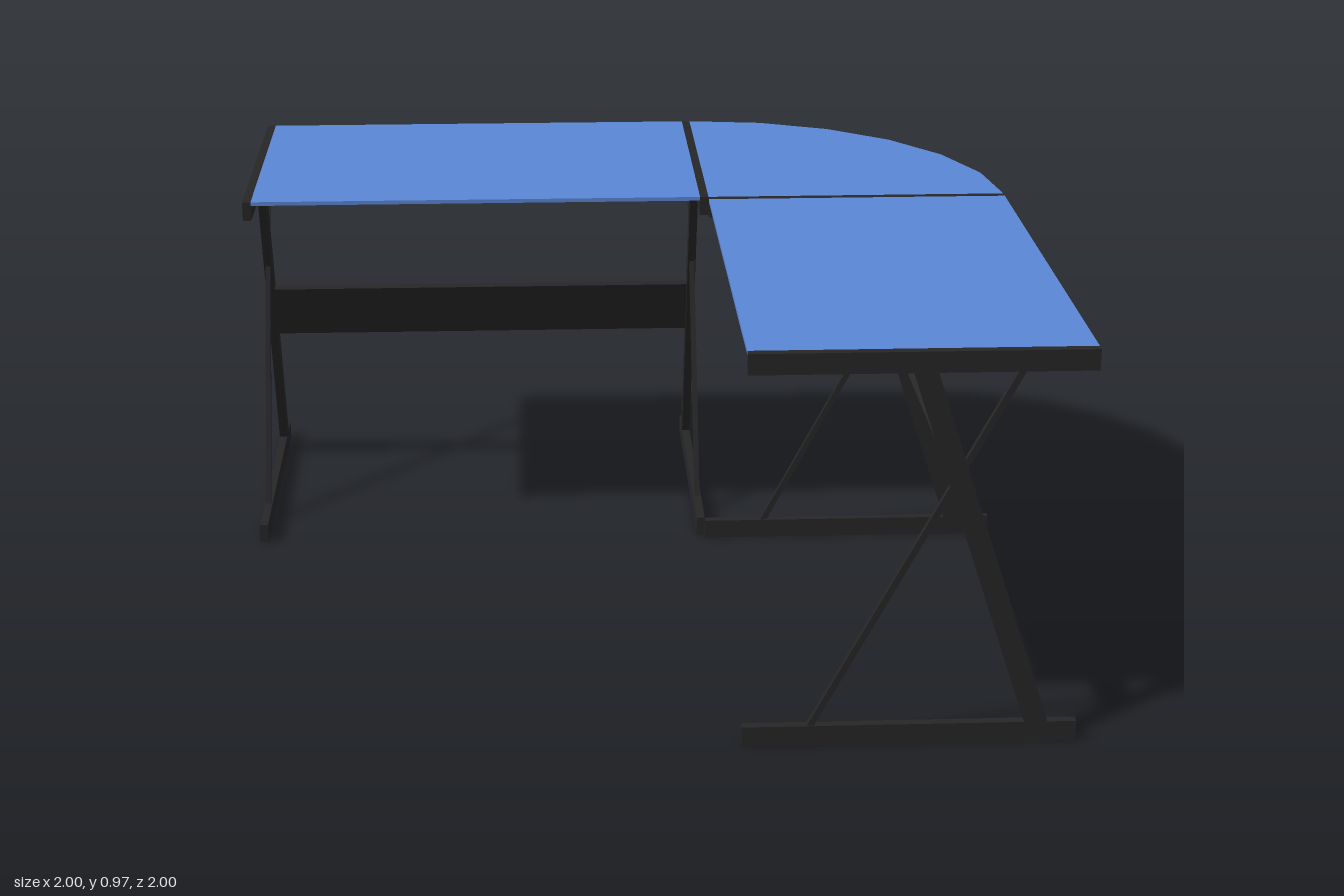
import * as THREE from 'three';

const dark = new THREE.MeshStandardMaterial({ color: 0x262626 });
const blue = new THREE.MeshStandardMaterial({ color: 0x5b87d6 });

const IN = 0.22, OUT = 1, MID = (IN + OUT) / 2; // depth range of a desk wing
const HALF = 0.61, T = 0.022;                   // half length of a wing, frame thickness
const TOP = 0.968, BAR = 0.05, SLAB = 0.01;     // desk height, bar height, top thickness
const RAIL_Y = 0.936, RAIL_H = 0.018;

function mesh(name, geometry, material) {
  const m = new THREE.Mesh(geometry, material);
  m.name = name;
  return m;
}

function box(name, w, h, d, x, y, z, material = dark) {
  const m = mesh(name, new THREE.BoxGeometry(w, h, d), material);
  m.position.set(x, y, z);
  return m;
}

// Slanted bar cut level at both ends; xb and xt are its centres at the bottom and top
function slantedBar(name, xb, xt, width, depth) {
  const h = width / 2, y0 = BAR, y1 = TOP - BAR;
  const shape = new THREE.Shape([[xb - h, y0], [xb + h, y0], [xt + h, y1], [xt - h, y1]]
    .map(([x, y]) => new THREE.Vector2(x, y)));
  const geometry = new THREE.ExtrudeGeometry(shape, { depth, bevelEnabled: false });
  return mesh(name, geometry.translate(0, 0, -depth / 2), dark);
}

// Leg frame: foot, top bar, slanted post and thin crossing brace
function legFrame(z) {
  const g = new THREE.Group();
  g.name = 'legFrame';
  g.add(
    box('foot', OUT - IN, BAR, T, MID, BAR / 2, 0),
    box('topBar', OUT - IN, BAR, T, MID, TOP - BAR / 2, 0),
    slantedBar('post', 0.905, 0.615, 0.054, T),
    slantedBar('brace', 0.38, 0.83, 0.017, 0.014)
  );
  g.position.z = z;
  return g;
}

// One straight desk wing, centred along z
function wing(name) {
  const g = new THREE.Group();
  g.name = name;
  const inner = 2 * (HALF - T);
  for (const s of [-1, 1]) g.add(legFrame(s * (HALF - T / 2)));
  g.add(box('desktop', OUT - IN, SLAB, inner, MID, TOP - SLAB / 2, 0, blue));
  for (const x of [0.32, 0.9]) {
    g.add(box('rail', 0.02, RAIL_H, inner, x, RAIL_Y + RAIL_H / 2, 0));
  }
  // Back panel leaning along the posts
  const panel = box('backPanel', 0.018, 0.158, inner, 0.759, 0.488, 0);
  panel.rotation.z = Math.atan2(0.29, 0.868);
  g.add(panel);
  return g;
}

// Points on a quarter circle around the inner corner
function arc(radius, segments) {
  return Array.from({ length: segments + 1 }, (_, i) => {
    const a = (i / segments) * Math.PI / 2;
    return new THREE.Vector2(IN + radius * Math.cos(a), IN + radius * Math.sin(a));
  });
}

// Flat shape in plan, extruded upward from y
function flatPart(name, points, y, height, material) {
  const geometry = new THREE.ExtrudeGeometry(new THREE.Shape(points), { depth: height, bevelEnabled: false });
  const m = mesh(name, geometry.rotateX(-Math.PI / 2), material);
  m.position.y = y;
  return m;
}

export function createModel() {
  const model = new THREE.Group();
  model.name = 'cornerDesk';

  const sideWing = wing('sideWing');
  sideWing.position.z = OUT - HALF;
  const backWing = wing('backWing');
  backWing.rotation.y = Math.PI / 2;
  backWing.position.x = HALF - OUT;

  // Quarter-round corner top with a curved rail below
  const corner = new THREE.Group();
  corner.name = 'corner';
  corner.add(
    flatPart('cornerTop', [new THREE.Vector2(IN, IN), ...arc(OUT - IN, 6)], TOP - SLAB, SLAB, blue),
    flatPart('cornerRail', [...arc(0.69, 12), ...arc(0.67, 12).reverse()], RAIL_Y, RAIL_H, dark)
  );

  model.add(sideWing, backWing, corner);
  return model;
}
